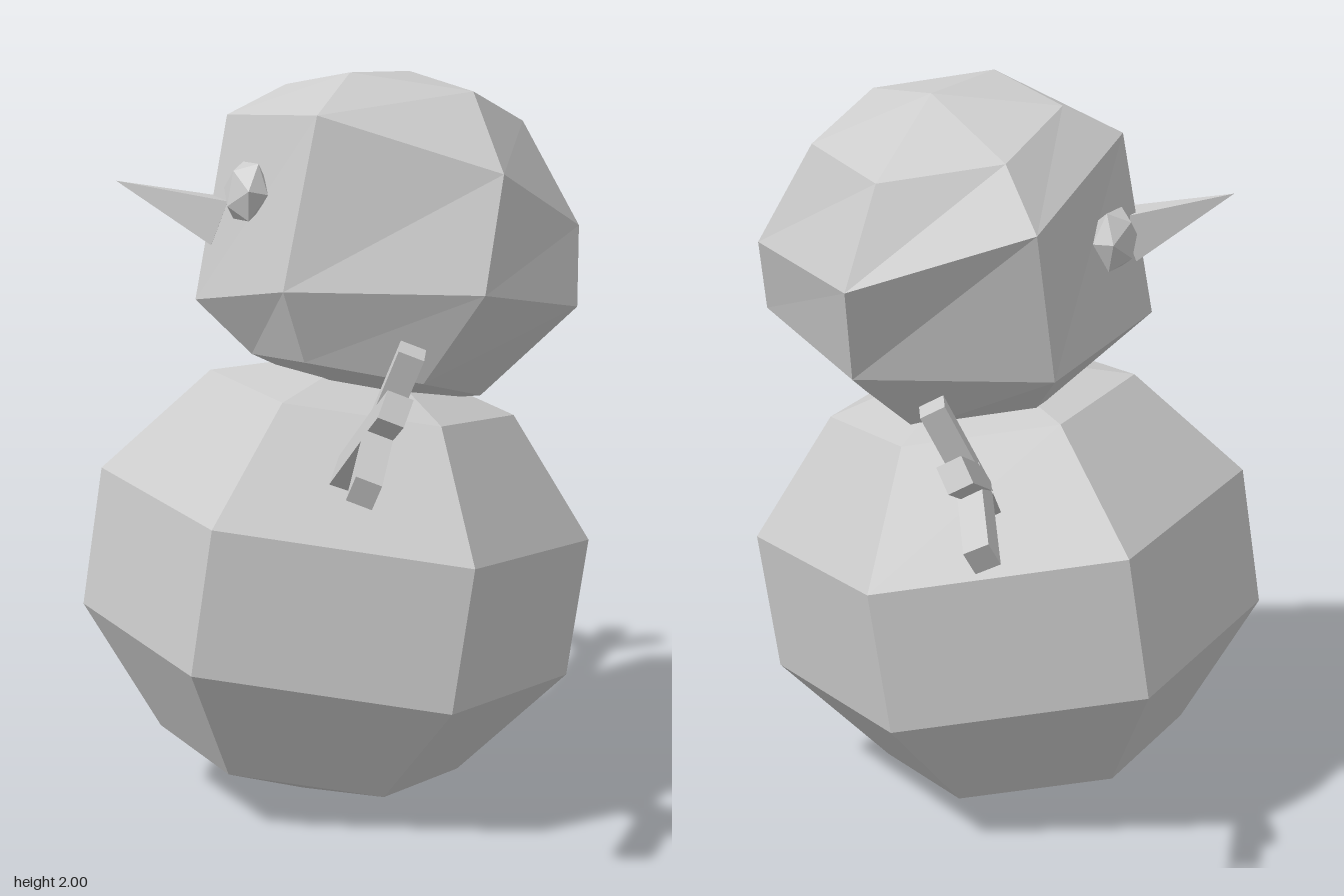
import * as THREE from 'three';

const V = (x, y, z) => new THREE.Vector3(x, y, z);
const material = new THREE.MeshStandardMaterial({ color: 0xcccccc, flatShading: true });

function addMesh(parent, name, geometry) {
  const mesh = new THREE.Mesh(geometry, material);
  mesh.name = name;
  parent.add(mesh);
  return mesh;
}

// Six-sided snowball: rings from top to bottom, each a centre and two corner directions
function snowball(top, rings, bottom) {
  const loops = rings.map(({ c, a, b }) => {
    const half = [a, b, b.clone().sub(a)];
    return [...half.map(d => c.clone().add(d)), ...half.map(d => c.clone().sub(d))];
  });
  const points = [];
  const last = loops[loops.length - 1];
  for (let i = 0; i < 6; i++) {
    const j = (i + 1) % 6;
    points.push(top, loops[0][j], loops[0][i]);
    for (let k = 0; k < loops.length - 1; k++) {
      const up = loops[k], low = loops[k + 1];
      points.push(up[i], up[j], low[j], up[i], low[j], low[i]);
    }
    points.push(bottom, last[i], last[j]);
  }
  const geometry = new THREE.BufferGeometry().setFromPoints(points);
  geometry.computeVertexNormals();
  return geometry;
}

// Square stick between two points, lying flat in the plane with the given normal
function addStick(parent, name, from, to, normal, width = 0.075) {
  const along = to.clone().sub(from);
  const length = along.length();
  along.normalize();
  const side = along.clone().cross(normal).normalize();
  const depth = side.clone().cross(along);
  const stick = addMesh(parent, name, new THREE.BoxGeometry(width, length, 0.065));
  stick.quaternion.setFromRotationMatrix(new THREE.Matrix4().makeBasis(side, along, depth));
  stick.position.copy(from).add(to).multiplyScalar(0.5);
}

// Arm with a shaft and three twig fingers
function addArm(parent, name, shoulder, joint, tips) {
  const arm = new THREE.Group();
  arm.name = name;
  parent.add(arm);
  const normal = tips[1].clone().sub(joint).cross(tips[0].clone().sub(joint)).normalize();
  addStick(arm, 'shaft', shoulder, joint, normal, 0.085);
  ['upperFinger', 'middleFinger', 'lowerFinger'].forEach((finger, i) => {
    const start = joint.clone().lerp(tips[i], -0.08);
    addStick(arm, finger, start, tips[i], normal, 0.07);
  });
}

export function createModel() {
  const model = new THREE.Group();
  model.name = 'snowman';

  // Body: squashed, slightly tilted ball
  const centre = V(-0.055, 0.622, 0.055), axis = V(0.065, 0.622, -0.065);
  const a = V(0.683, -0.053, 0.189), b = V(0.179, 0.053, 0.683);
  const bodyRings = [1, 2, 3, 4].map(k => {
    const t = k * Math.PI / 5, r = Math.sin(t);
    return {
      c: centre.clone().addScaledVector(axis, Math.cos(t)),
      a: a.clone().multiplyScalar(r),
      b: b.clone().multiplyScalar(r),
    };
  });
  addMesh(model, 'body', snowball(
    centre.clone().add(axis), bodyRings, centre.clone().sub(axis)));

  // Head: ball tilted back, with its lower rings more level
  addMesh(model, 'head', snowball(V(-0.03, 1.99, -0.21), [
    { c: V(-0.03, 1.905, -0.19), a: V(0.32, 0.045, 0.07), b: V(0.09, 0.095, 0.30) },
    { c: V(0.01, 1.725, -0.145), a: V(0.49, 0.025, 0.135), b: V(0.14, 0.175, 0.465) },
    { c: V(0.035, 1.37, -0.05), a: V(0.485, 0.075, 0.13), b: V(0.09, 0.08, 0.47) },
    { c: V(0.03, 1.18, 0.02), a: V(0.31, 0.02, 0.10), b: V(0.08, 0.075, 0.31) },
  ], V(0.03, 1.1, 0.03)));

  // Eyes: flattened pebbles on the two faces beside the nose
  const eyes = [
    ['leftEye', V(-0.105, 1.69, 0.335), V(-0.27, 0.2, 0.94)],
    ['rightEye', V(-0.455, 1.635, 0.035), V(-0.95, 0.05, 0.3)],
  ];
  for (const [name, position, facing] of eyes) {
    const eye = addMesh(model, name, new THREE.IcosahedronGeometry(1, 0));
    eye.scale.set(0.085, 0.09, 0.055);
    eye.position.copy(position);
    eye.lookAt(position.clone().add(facing));
  }

  // Nose: four-sided spike on the edge between the eyes
  const root = V(-0.31, 1.59, 0.24), tip = V(-0.51, 1.70, 0.44);
  const spike = tip.clone().sub(root);
  const nose = addMesh(model, 'nose', new THREE.ConeGeometry(0.09, spike.length(), 4));
  nose.position.copy(root).lerp(tip, 0.5);
  nose.quaternion.setFromUnitVectors(V(0, 1, 0), spike.normalize());

  // Arms
  addArm(model, 'leftArm', V(0.28, 0.98, 0.35), V(0.65, 1.18, 0.60),
    [V(0.745, 1.38, 0.585), V(0.84, 1.27, 0.74), V(0.825, 1.08, 0.83)]);
  addArm(model, 'rightArm', V(-0.34, 0.98, -0.33), V(-0.63, 1.18, -0.65),
    [V(-0.58, 1.38, -0.74), V(-0.75, 1.27, -0.83), V(-0.83, 1.08, -0.82)]);

  return model;
}
